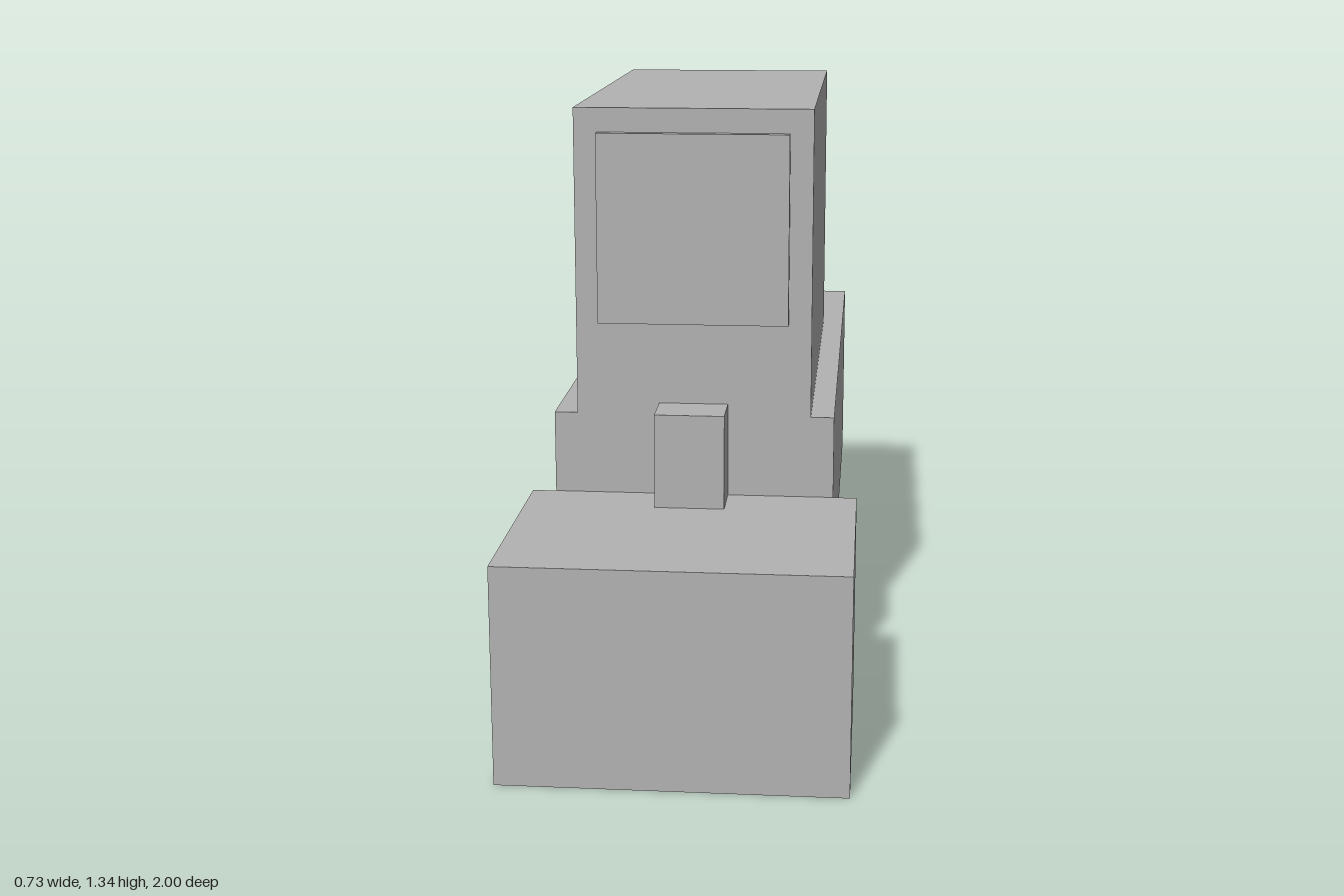
import * as THREE from 'three';

export function createModel() {
  const model = new THREE.Group();
  const grey = new THREE.MeshStandardMaterial({ color: 0xb2b2b2 });
  grey.name = 'grey';

  // Box centred on x, given its half width and its y and z ranges
  function block(name, halfWidth, [y0, y1], [z0, z1]) {
    const mesh = new THREE.Mesh(new THREE.BoxGeometry(halfWidth * 2, y1 - y0, z1 - z0), grey);
    mesh.name = name;
    mesh.position.set(0, (y0 + y1) / 2, (z0 + z1) / 2);
    model.add(mesh);
  }

  const wall = 0.475; // shared front plane of the body and tower

  block('frontBase', 0.367, [0, 0.475], [wall, 1]);
  block('body', 0.314, [0.19, 0.66], [-1, wall]);
  block('tower', 0.262, [0.66, 1.343], [-0.58, wall]);
  block('frontPanel', 0.211, [0.87, 1.29], [wall, 0.497]);
  block('lever', 0.077, [0.475, 0.686], [wall, 0.582]);

  return model;
}
